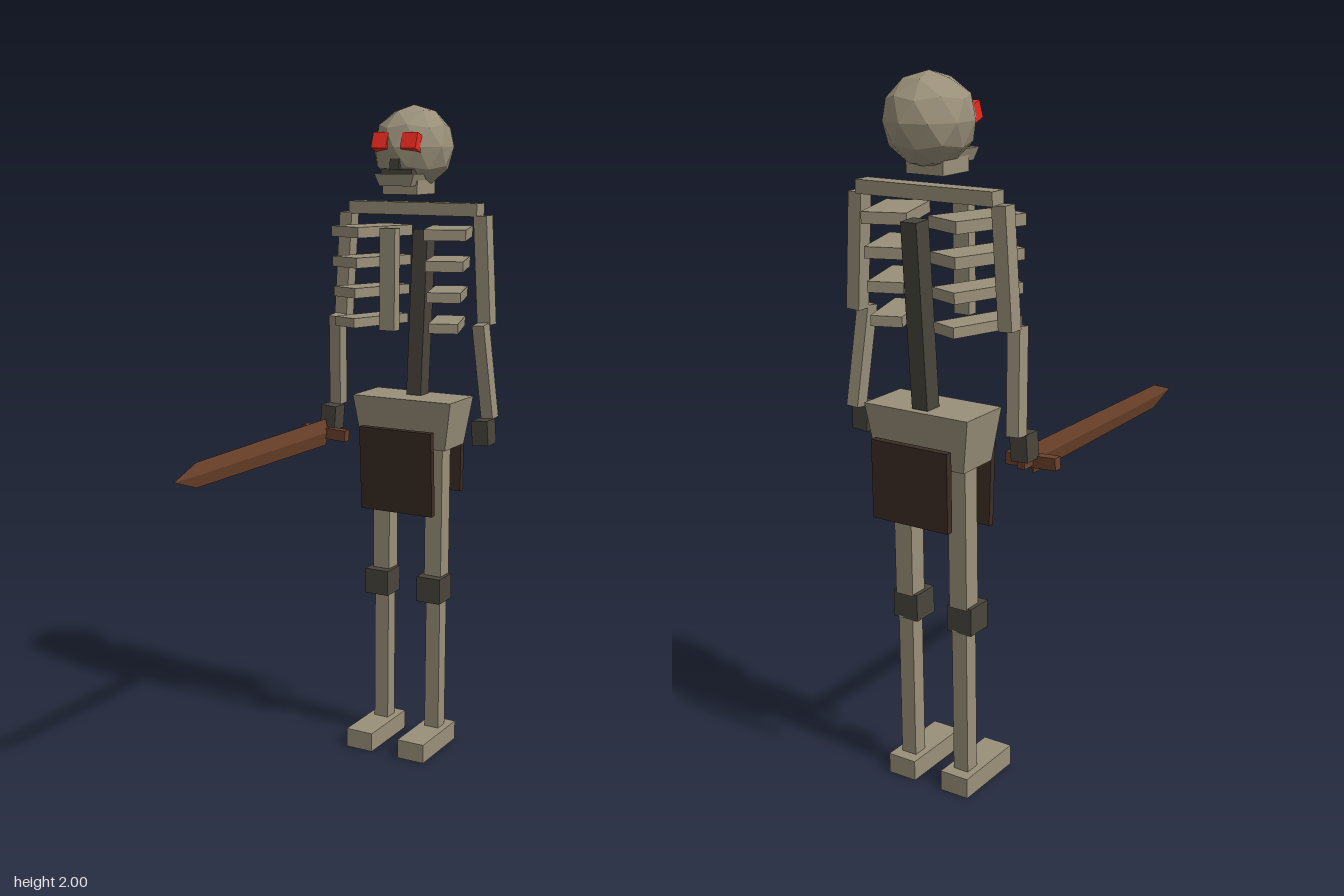
import * as THREE from 'three';

const mat = (color) => new THREE.MeshStandardMaterial({ color, flatShading: true });

export function createModel() {
  const model = new THREE.Group();
  const bone = mat(0x9a907a), dark = mat(0x49453c), cloth = mat(0x3b2d24);
  const wood = mat(0x6b412a), red = mat(0xe92a20);
  const CX = 0.025; // the body's centre line

  function add(name, geometry, material, x = 0, y = 0, z = 0) {
    const mesh = new THREE.Mesh(geometry, material);
    mesh.name = name;
    mesh.position.set(x, y, z);
    model.add(mesh);
    return mesh;
  }

  // Box given by its limits on each axis
  function span(name, material, [x0, x1], [y0, y1], [z0, z1]) {
    return add(name, new THREE.BoxGeometry(x1 - x0, y1 - y0, z1 - z0), material,
      (x0 + x1) / 2, (y0 + y1) / 2, (z0 + z1) / 2);
  }

  // Square bar running between two points
  function bar(name, material, from, to, w, d) {
    const a = new THREE.Vector3(...from), b = new THREE.Vector3(...to);
    const dir = b.clone().sub(a);
    const mesh = add(name, new THREE.BoxGeometry(w, dir.length(), d), material);
    mesh.position.copy(a).add(b).multiplyScalar(0.5);
    mesh.quaternion.setFromUnitVectors(new THREE.Vector3(0, -1, 0), dir.normalize());
    return mesh;
  }

  // Box whose lower end is scaled
  function taper(w, h, d, sx, sz) {
    const g = new THREE.BoxGeometry(w, h, d), p = g.attributes.position;
    for (let i = 0; i < p.count; i++) {
      if (p.getY(i) < 0) p.setXYZ(i, p.getX(i) * sx, p.getY(i), p.getZ(i) * sz);
    }
    g.computeVertexNormals();
    return g;
  }

  // Skull: faceted ball with a vertex at the crown
  const skull = new THREE.IcosahedronGeometry(1, 1);
  skull.rotateZ(Math.atan(2 / (1 + Math.sqrt(5))));
  skull.scale(0.119, 0.123, 0.133);
  add('skull', skull, bone, CX, 1.877, -0.372);
  span('nose', dark, [0.01, 0.04], [1.812, 1.845], [-0.29, -0.248]);
  span('mouth', dark, [-0.025, 0.075], [1.785, 1.815], [-0.31, -0.26]);
  add('jaw', taper(0.13, 0.035, 0.09, 0.8, 0.85), bone, CX, 1.783, -0.29);
  span('neck', bone, [-0.033, 0.083], [1.74, 1.785], [-0.4, -0.283]);

  // Torso
  span('shoulderBar', bone, [-0.19, 0.24], [1.677, 1.715], [-0.413, -0.36]);
  span('sternum', bone, [0, 0.05], [1.345, 1.645], [-0.24, -0.207]);
  bar('spine', dark, [CX, 1.63, -0.447], [CX, 1.11, -0.412], 0.05, 0.055);
  add('pelvis', taper(0.335, 0.15, 0.163, 0.86, 0.82), bone, CX, 1.05, -0.382);

  // Loincloth
  const front = add('frontCloth', new THREE.BoxGeometry(0.245, 0.262, 0.02), cloth, CX, 0.905, -0.279);
  front.rotation.x = 0.06;
  span('backCloth', cloth, [-0.098, 0.148], [0.815, 1.038], [-0.495, -0.474]);

  for (const [side, s] of [['left', 1], ['right', -1]]) {
    const x = (off) => CX + s * off;

    // Eye
    const eye = add(side + 'Eye', new THREE.BoxGeometry(0.05, 0.048, 0.045), red, x(0.048), 1.89, -0.267);
    eye.rotation.x = -0.35;

    // Ribs: flat slats splayed outwards, narrower further down
    for (let i = 0; i < 4; i++) {
      const rib = add(side + 'Rib' + (i + 1),
        new THREE.BoxGeometry(0.123 - 0.012 * i, 0.032 - 0.001 * i, 0.222), bone,
        x(0.129), 1.628 - 0.0905 * i, -0.351);
      rib.rotation.y = s * 0.345;
    }

    // Arm
    bar(side + 'UpperArm', bone, [x(0.226), 1.68, -0.381], [x(0.245), 1.36, -0.381], 0.042, 0.045);
    bar(side + 'Forearm', bone, [x(0.244), 1.365, -0.34], [x(0.263), 1.08, -0.377], 0.038, 0.042);
    const hand = add(side + 'Hand', new THREE.BoxGeometry(0.052, 0.075, 0.058), dark, x(0.262), 1.043, -0.337);
    hand.rotation.z = s * 0.07;

    // Leg
    const leg = x(0.091);
    const part = (name, material, w, ys, zs) =>
      span(side + name, material, [leg - w / 2, leg + w / 2], ys, zs);
    part('Thigh', bone, 0.057, [0.56, 1.0], [-0.406, -0.35]);
    part('Knee', dark, 0.08, [0.485, 0.565], [-0.402, -0.32]);
    part('Shin', bone, 0.048, [0.05, 0.49], [-0.402, -0.356]);
    part('Foot', bone, 0.09, [0, 0.06], [-0.437, -0.21]);
  }

  // Sword: diamond-section blade with a pointed tip, pointing forward
  const blade = new THREE.LatheGeometry([
    new THREE.Vector2(0, -0.3), new THREE.Vector2(0.042, -0.3),
    new THREE.Vector2(0.036, 0.4), new THREE.Vector2(0, 0.505),
  ], 4);
  blade.scale(0.22, 1, 1);
  blade.rotateX(Math.PI / 2);
  add('swordBlade', blade, wood, -0.24, 0.997, 0);
  const guard = add('swordGuard', new THREE.BoxGeometry(0.155, 0.034, 0.028), wood, -0.243, 0.995, -0.304);
  guard.rotation.z = -0.05;
  span('swordGrip', wood, [-0.252, -0.228], [0.985, 1.012], [-0.36, -0.3]);

  return model;
}
